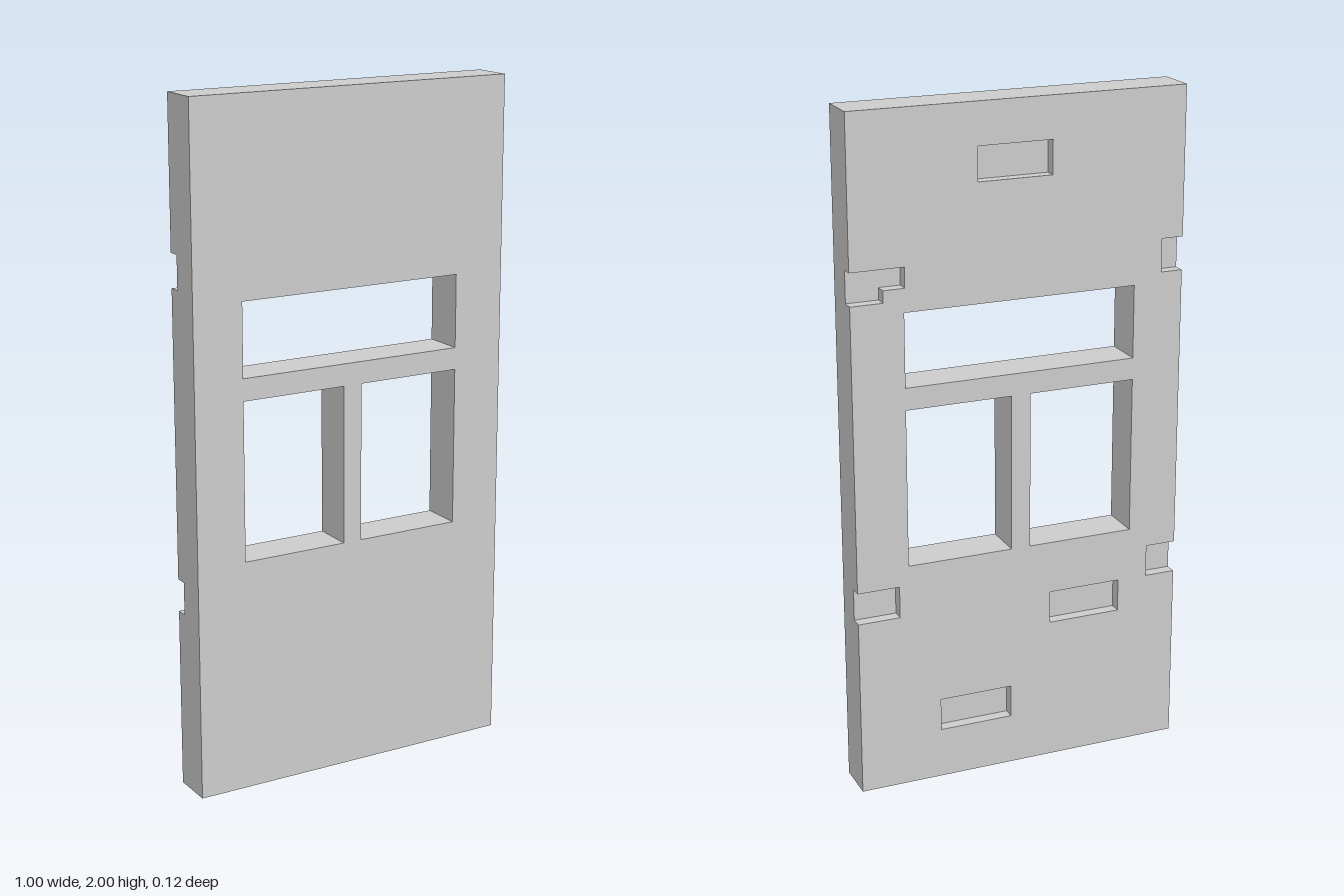
import * as THREE from 'three';

const HALF_W = 0.5, HEIGHT = 2, HALF_D = 0.0625, RECESS = 0.035;

// Window openings and closed back pockets: [x0, x1, y0, y1]
const windows = [
  [-0.35, -0.03, 0.69, 1.157],
  [0.028, 0.345, 0.69, 1.157],
  [-0.35, 0.345, 1.222, 1.438],
];
const pockets = [
  [-0.095, 0.126, 1.78, 1.878],
  [-0.316, -0.095, 0.435, 0.533],
  [0.03, 0.252, 0.152, 0.25],
];

// Outlines of the panel, plain and with the notches cut into both edges
const plainOutline = [[-HALF_W, 0], [HALF_W, 0], [HALF_W, HEIGHT], [-HALF_W, HEIGHT]];
const notchedOutline = [
  [-HALF_W, 0], [HALF_W, 0],
  // lower notch, +x edge
  [HALF_W, 0.535], [0.374, 0.535], [0.374, 0.63], [HALF_W, 0.63],
  // upper stepped notch, +x edge
  [HALF_W, 1.472], [0.405, 1.472], [0.405, 1.507], [0.342, 1.507], [0.342, 1.566], [HALF_W, 1.566],
  [HALF_W, HEIGHT], [-HALF_W, HEIGHT],
  // upper notch, -x edge
  [-HALF_W, 1.566], [-0.435, 1.566], [-0.435, 1.468], [-HALF_W, 1.468],
  // lower notch, -x edge
  [-HALF_W, 0.628], [-0.408, 0.628], [-0.408, 0.532], [-HALF_W, 0.532],
];

const points = (list) => list.map(([x, y]) => new THREE.Vector2(x, y));

function makeLayer(name, outline, holes, z0, z1, material) {
  const shape = new THREE.Shape(points(outline));
  for (const [x0, x1, y0, y1] of holes) {
    shape.holes.push(new THREE.Path(points([[x0, y0], [x0, y1], [x1, y1], [x1, y0]])));
  }
  const geometry = new THREE.ExtrudeGeometry(shape, { depth: z1 - z0, bevelEnabled: false });
  geometry.translate(0, 0, z0);
  const mesh = new THREE.Mesh(geometry, material);
  mesh.name = name;
  return mesh;
}

export function createModel() {
  const group = new THREE.Group();
  group.name = 'windowPanel';
  const material = new THREE.MeshStandardMaterial({ color: 0xcccccc });
  const floorZ = -HALF_D + RECESS;

  // Front layer: its rear face is the floor of the pockets
  group.add(makeLayer('frontPanel', plainOutline, windows, floorZ, HALF_D, material));
  // Back layer: adds the pockets and edge notches
  group.add(makeLayer('recessedBackPanel', notchedOutline, [...windows, ...pockets], -HALF_D, floorZ, material));
  return group;
}
